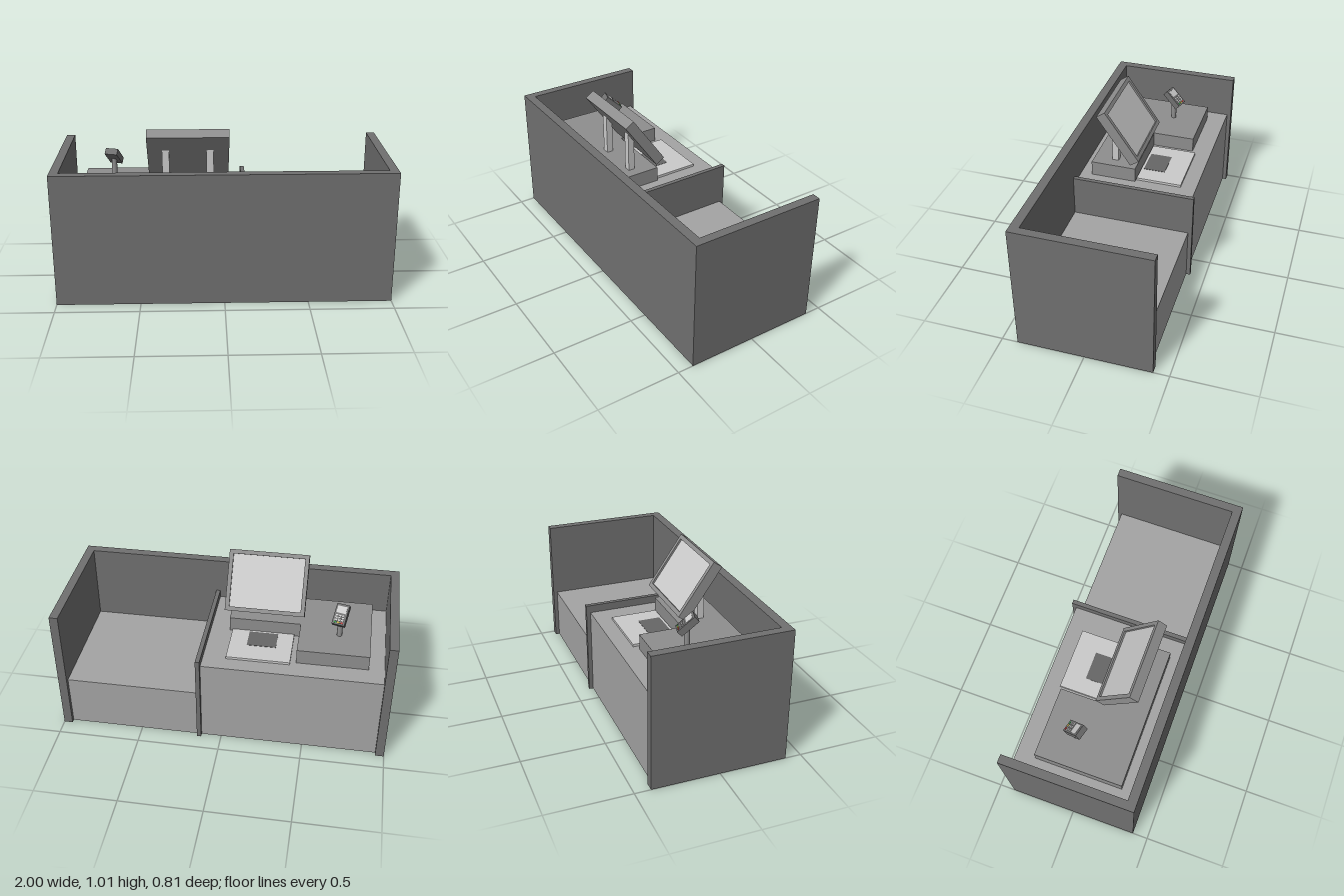
import * as THREE from 'three';

const mat = (color) => new THREE.MeshStandardMaterial({ color });
const wallMat = mat(0x707070), counterMat = mat(0xa4a4a4), shelfMat = mat(0x8e8e8e);
const lightMat = mat(0xcccccc), darkMat = mat(0x666666);

function add(parent, name, geometry, material) {
  const mesh = new THREE.Mesh(geometry, material);
  mesh.name = name;
  parent.add(mesh);
  return mesh;
}

// Box given by its limits on each axis
function box(parent, name, [x0, x1], [y0, y1], [z0, z1], material) {
  const mesh = add(parent, name, new THREE.BoxGeometry(x1 - x0, y1 - y0, z1 - z0), material);
  mesh.position.set((x0 + x1) / 2, (y0 + y1) / 2, (z0 + z1) / 2);
  return mesh;
}

// Outline in plan (x, z), raised from y0 to y1
function slab(parent, name, points, y0, y1, material) {
  const shape = new THREE.Shape(points.map(([x, z]) => new THREE.Vector2(x, -z)));
  const geometry = new THREE.ExtrudeGeometry(shape, { depth: y1 - y0, bevelEnabled: false });
  geometry.rotateX(-Math.PI / 2).translate(0, y0, 0);
  return add(parent, name, geometry, material);
}

// Rectangular frame in the xy plane, front at z0
function frame(parent, name, w, h, border, z0, depth, material) {
  const rect = (a, b, Type) => new Type([[-a, -b], [a, -b], [a, b], [-a, b]].map((p) => new THREE.Vector2(...p)));
  const shape = rect(w / 2, h / 2, THREE.Shape);
  shape.holes.push(rect(w / 2 - border, h / 2 - border, THREE.Path));
  const geometry = new THREE.ExtrudeGeometry(shape, { depth, bevelEnabled: false });
  return add(parent, name, geometry.translate(0, 0, z0), material);
}

// Tilted screen; its face looks along local -z
function makeMonitor() {
  const monitor = new THREE.Group();
  monitor.name = 'monitor';
  const w = 0.482, h = 0.37, t = 0.063, recess = 0.012, border = 0.025;
  frame(monitor, 'monitorBezel', w, h, border, -t / 2, recess, shelfMat);
  box(monitor, 'monitorCase', [-w / 2, w / 2], [-h / 2, h / 2], [-t / 2 + recess, t / 2], shelfMat);
  box(monitor, 'screen', [-w / 2 + border, w / 2 - border], [-h / 2 + border, h / 2 - border],
    [-t / 2 + recess - 0.001, 0], lightMat);
  monitor.position.set(-0.209, 0.843, 0.101);
  monitor.rotation.x = 0.604;
  return monitor;
}

// Small payment terminal with display and keypad, facing local -z
function makeCardReader() {
  const reader = new THREE.Group();
  reader.name = 'cardReader';
  const w = 0.077, h = 0.127, t = 0.04, f = -t / 2;
  box(reader, 'readerBody', [-w / 2, w / 2], [-h / 2, h / 2], [f, -f], wallMat);
  box(reader, 'readerDisplay', [-0.029, 0.029], [0.008, 0.05], [f - 0.002, 0], lightMat);
  const rowMats = [mat(0xc04040), mat(0xc8b040), mat(0x40a050)];
  for (let row = 0; row < 4; row++) {
    for (let col = 0; col < 3; col++) {
      const x = (col - 1) * 0.02, y = -0.05 + row * 0.014;
      box(reader, 'key', [x - 0.007, x + 0.007], [y - 0.0045, y + 0.0045], [f - 0.003, 0],
        row === 0 ? rowMats[col] : lightMat);
    }
  }
  reader.position.set(-0.667, 0.775, -0.069);
  reader.rotation.set(0.838, -0.26, 0, 'YXZ');
  return reader;
}

export function createModel() {
  const model = new THREE.Group();
  model.name = 'checkoutCounter';

  // U-shaped outer wall, open at the back
  slab(model, 'outerWall', [[-1, 0.405], [1, 0.405], [1, -0.405], [0.948, -0.405],
    [0.948, 0.35], [-0.948, 0.35], [-0.948, -0.405], [-1, -0.405]], 0, 0.81, wallMat);

  // Low and high counters with the divider between them
  box(model, 'lowCounter', [0.148, 0.948], [0, 0.33], [-0.38, 0.35], counterMat);
  box(model, 'highCounter', [-0.948, 0.122], [0, 0.54], [-0.38, 0.35], counterMat);
  box(model, 'divider', [0.122, 0.148], [0, 0.587], [-0.405, 0.35], wallMat);

  // Raised L-shaped shelf
  slab(model, 'raisedShelf', [[-0.855, 0.28], [0.005, 0.28], [0.005, 0], [-0.43, 0],
    [-0.43, -0.26], [-0.855, -0.26]], 0.54, 0.632, shelfMat);

  // Flat scanner plate with its dark window
  box(model, 'scannerPlate', [-0.395, -0.015], [0.54, 0.555], [-0.285, -0.005], lightMat);
  box(model, 'scannerWindow', [-0.298, -0.122], [0.55, 0.557], [-0.155, -0.02], darkMat);

  // Monitor on two posts cut to its slope
  model.add(makeMonitor());
  const post = new THREE.Shape([[0.125, 0.632], [0.165, 0.632], [0.165, 0.885], [0.125, 0.827]]
    .map(([z, y]) => new THREE.Vector2(-z, y)));
  for (const x of [-0.342, -0.08]) {
    const geometry = new THREE.ExtrudeGeometry(post, { depth: 0.042, bevelEnabled: false });
    geometry.translate(0, 0, -0.021).rotateY(Math.PI / 2);
    add(model, 'monitorPost', geometry, lightMat).position.x = x;
  }

  // Card reader on a round stem
  model.add(makeCardReader());
  const stem = add(model, 'readerStem', new THREE.CylinderGeometry(0.016, 0.016, 0.138, 20), shelfMat);
  stem.position.set(-0.667, 0.701, -0.069);

  return model;
}
